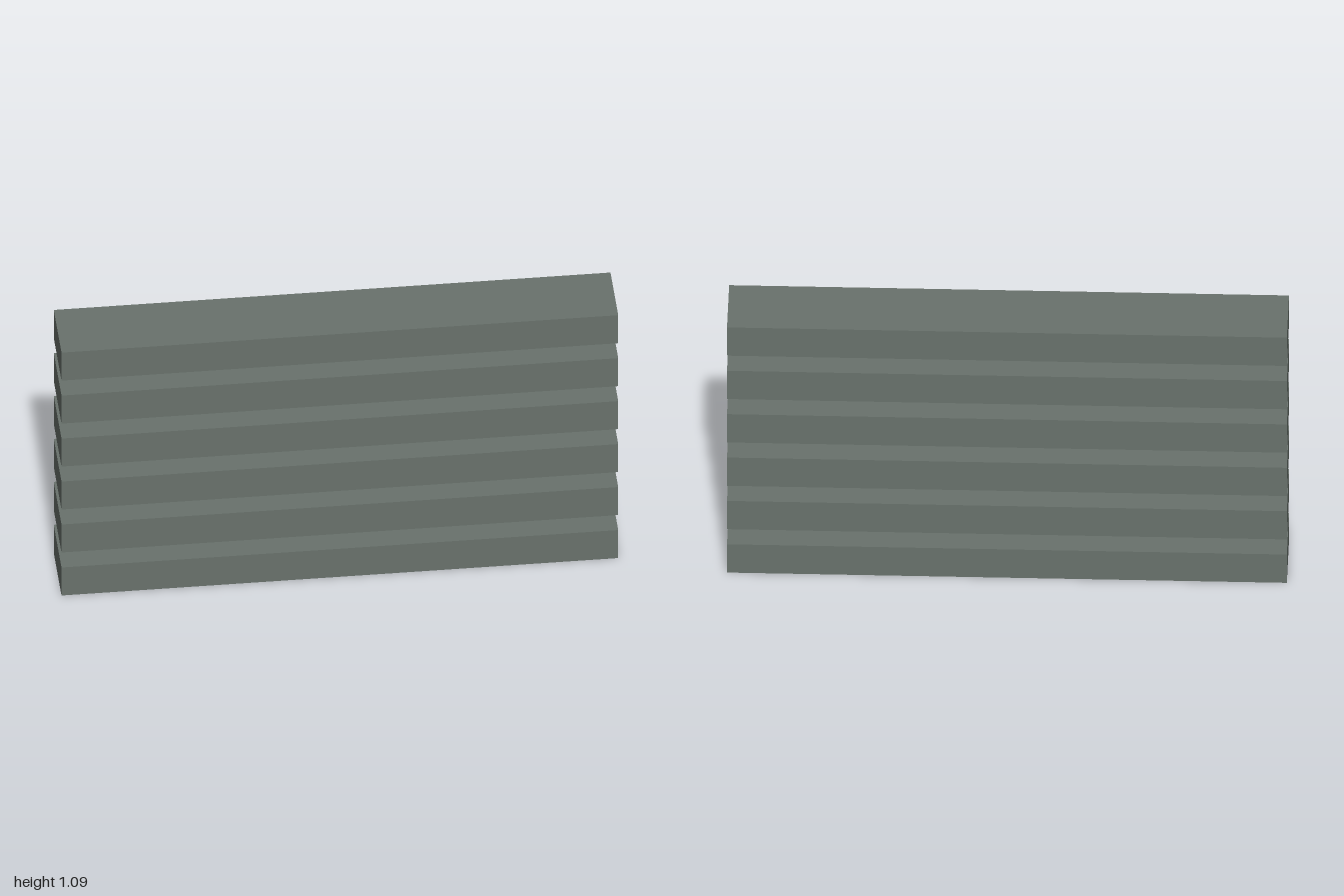
import * as THREE from 'three';

export function createModel() {
  const model = new THREE.Group();
  model.name = 'slatStack';

  const greyGreen = new THREE.MeshStandardMaterial({ color: 0x69726c });
  greyGreen.name = 'greyGreen';

  // Six identical horizontal slats, evenly spaced from the ground up
  const count = 6, height = 0.126, depth = 0.252, pitch = 0.1934;
  const slatGeometry = new THREE.BoxGeometry(2, height, depth);
  for (let i = 0; i < count; i++) {
    const slat = new THREE.Mesh(slatGeometry, greyGreen);
    slat.name = `slat${i + 1}`;
    slat.position.y = height / 2 + i * pitch;
    model.add(slat);
  }
  return model;
}
